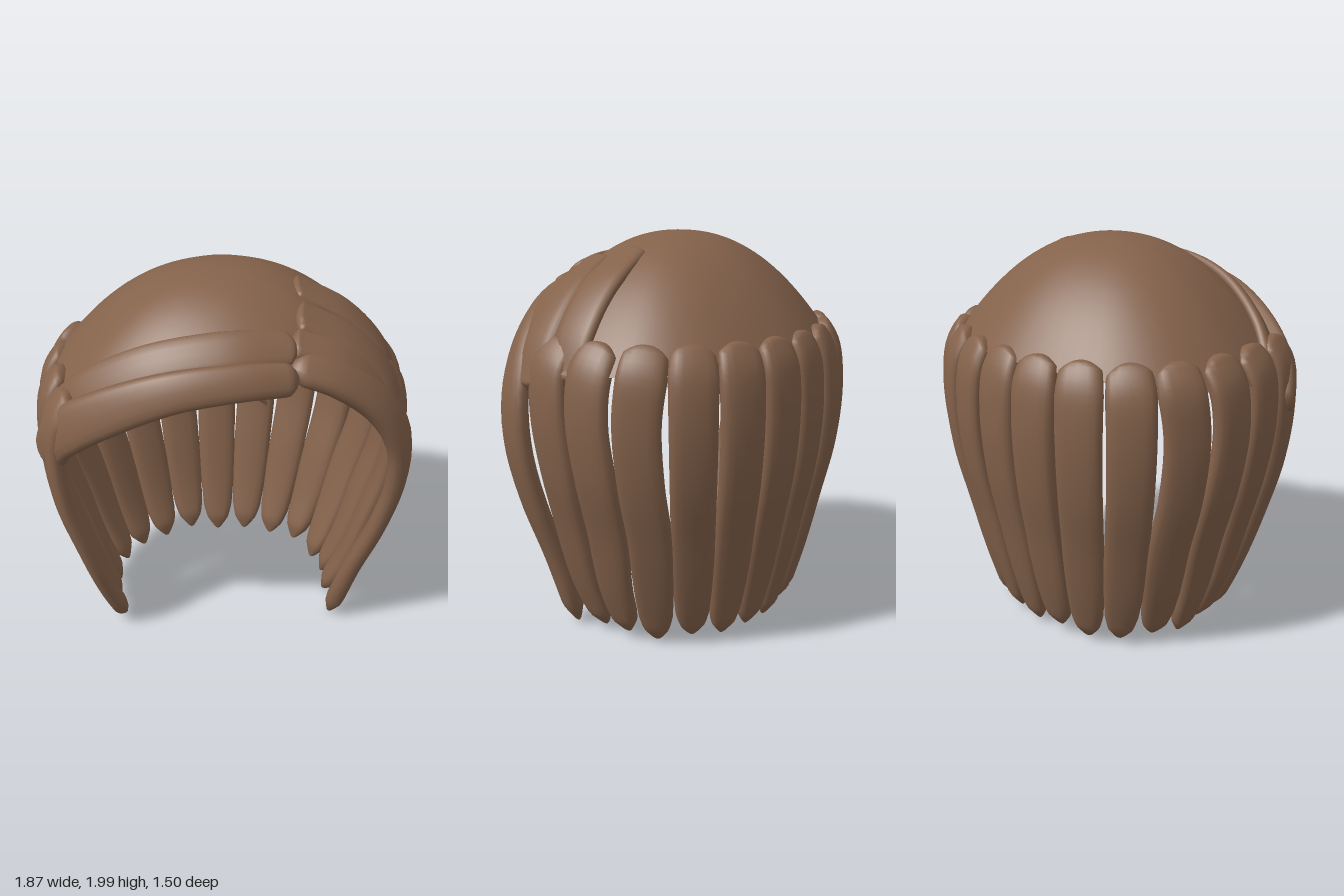
import * as THREE from 'three';

const hair = new THREE.MeshStandardMaterial({ color: 0x84624b, side: THREE.DoubleSide });
hair.name = 'brown hair';

const V = (p) => new THREE.Vector3(...p);

// Linear lookup in an evenly spaced list
function sample(list, t) {
  const f = t * (list.length - 1);
  const i = Math.min(Math.floor(f), list.length - 2);
  return list[i] + (list[i + 1] - list[i]) * (f - i);
}

function buildGrid(name, positions, rows, cols) {
  const index = [];
  for (let i = 0; i < rows - 1; i++) {
    for (let j = 0; j < cols; j++) {
      const a = i * cols + j, b = i * cols + (j + 1) % cols;
      index.push(a, b, a + cols, b, b + cols, a + cols);
    }
  }
  const g = new THREE.BufferGeometry();
  g.setAttribute('position', new THREE.Float32BufferAttribute(positions, 3));
  g.setIndex(index);
  g.computeVertexNormals();
  const mesh = new THREE.Mesh(g, hair);
  mesh.name = name;
  return mesh;
}

// Flattened strand swept along a path, its flat side facing away from the head
function strand(name, points, widths, thick, depthFactor) {
  const curve = new THREE.CatmullRomCurve3(points.map(V));
  const maxW = Math.max(...widths);
  const rows = 44, cols = 16, pos = [];
  for (let i = 0; i < rows; i++) {
    // rows gather towards both ends so that the tips are round
    const t = 0.5 - 0.5 * Math.cos(Math.PI * i / (rows - 1));
    const p = curve.getPointAt(t), T = curve.getTangentAt(t);
    const zf = depthFactor ?? (p.z > 0 ? 0.6 : 1.5);
    const O = new THREE.Vector3(p.x, Math.max(0, p.y - 1.2), p.z * zf);
    O.addScaledVector(T, -O.dot(T)).normalize();
    const S = O.clone().cross(T);
    const end = Math.sqrt(Math.min(1, t / 0.035, (1 - t) / 0.05));
    const w = sample(widths, t) * end;
    const h = thick * Math.min(1, w / (maxW * 0.6));
    for (let j = 0; j < cols; j++) {
      const a = j / cols * Math.PI * 2, c = Math.cos(a), s = Math.sin(a);
      const q = p.clone()
        .addScaledVector(S, w * Math.sign(c) * Math.abs(c) ** 0.8)
        .addScaledVector(O, h * Math.sign(s) * Math.abs(s) ** 0.8);
      pos.push(q.x, q.y, q.z);
    }
  }
  return buildGrid(name, pos, rows, cols);
}

// Crown: a paraboloid shell reaching down to an uneven rim
function crown() {
  const rim = new THREE.CatmullRomCurve3([
    [0, 1.67, 0.66], [0.35, 1.66, 0.58], [0.72, 1.48, 0.46], [0.88, 1.4, 0.2],
    [0.89, 1.4, -0.02], [0.8, 1.42, -0.3], [0.54, 1.46, -0.52], [0, 1.49, -0.66],
    [-0.54, 1.46, -0.52], [-0.8, 1.42, -0.3], [-0.89, 1.4, -0.02], [-0.88, 1.38, 0.2],
    [-0.74, 1.43, 0.5], [-0.4, 1.6, 0.63],
  ].map(V), true);
  const rows = 25, cols = 72, pos = [];
  for (let i = 0; i < rows; i++) {
    const s = 1 - i / (rows - 1);
    for (let j = 0; j < cols; j++) {
      const r = rim.getPoint(j / cols);
      pos.push(r.x * s, r.y + (2 - r.y) * (1 - s ** 2.2), 0.08 + (r.z - 0.08) * s);
    }
  }
  return buildGrid('crown', pos, rows, cols);
}

// Hanging locks spaced evenly along the half outline of the head
const outline = new THREE.CatmullRomCurve3([
  [0, 0, -0.7], [0.3, 0, -0.67], [0.58, 0, -0.55], [0.77, 0, -0.38],
  [0.86, 0, -0.18], [0.895, 0, 0.05], [0.87, 0, 0.28], [0.83, 0, 0.46],
].map(V));
const drop = [[1.54, 0.87], [1.42, 0.965], [1.2, 1], [0.9, 0.965], [0.6, 0.87], [0.3, 0.77], [0.025, 0.655]];
const lockWidths = [0.1, 0.118, 0.116, 0.114, 0.112, 0.11, 0.108, 0.106, 0.098, 0.085, 0.045];

function hangingLock(k, side) {
  const p = outline.getPointAt(k / 7);
  const tip = 0.015 * Math.sin(k * 2.4 + side);
  const points = drop.map(([y, f], i) => [
    side * p.x * f,
    y + (i === drop.length - 1 ? tip : 0),
    p.z * f + (k > 3 ? 0.015 * Math.sin(i * 1.7 + k) : 0),
  ]);
  return strand(k < 4 ? 'backLock' : 'sideLock', points, lockWidths, 0.045);
}

export function createModel() {
  const model = new THREE.Group();
  model.name = 'hair';
  model.add(crown());

  for (let k = 0; k <= 7; k++) {
    model.add(hangingLock(k, -1));
    if (k > 0 && k < 7) model.add(hangingLock(k, 1));
  }

  // Left front lock sweeps from the parting round the face
  model.add(strand('leftFrontLock', [
    [0.29, 1.72, 0.56], [0.5, 1.645, 0.55], [0.72, 1.47, 0.5], [0.84, 1.25, 0.46],
    [0.855, 1, 0.44], [0.8, 0.72, 0.41], [0.69, 0.38, 0.36], [0.59, 0.01, 0.31],
  ], [0.08, 0.09, 0.1, 0.11, 0.11, 0.11, 0.11, 0.1, 0.085, 0.045], 0.05, 0.9));

  // Combed bands from the parting to the left side
  for (const [z, dy] of [[0.12, 0], [0.33, -0.05]]) {
    model.add(strand('sideSweep', [
      [0.33, 1.915 + dy, z], [0.6, 1.765 + dy, z], [0.78, 1.57 + dy, z], [0.87, 1.35 + dy, z],
    ], [0.1, 0.115, 0.115, 0.1], 0.035, 0.6));
  }
  model.add(strand('sideSweep', [
    [0.3, 1.8, 0.47], [0.55, 1.69, 0.46], [0.75, 1.5, 0.41], [0.85, 1.28, 0.37],
  ], [0.08, 0.1, 0.1, 0.08], 0.035, 0.7));

  // Fringe sweeps from the parting to the right temple
  model.add(strand('fringe', [
    [0.32, 1.685, 0.62], [0.05, 1.705, 0.68], [-0.25, 1.665, 0.685],
    [-0.55, 1.53, 0.62], [-0.77, 1.36, 0.52], [-0.86, 1.17, 0.42],
  ], [0.075, 0.085, 0.095, 0.11, 0.12, 0.1], 0.05, 1.5));
  model.add(strand('upperFringe', [
    [0.32, 1.78, 0.51], [0, 1.8, 0.57], [-0.35, 1.73, 0.55],
    [-0.65, 1.56, 0.46], [-0.83, 1.38, 0.34],
  ], [0.08, 0.1, 0.1, 0.1, 0.07], 0.035, 1.1));

  // Small stray tip below the fringe
  const tip = new THREE.Mesh(new THREE.ConeGeometry(0.06, 0.14, 8), hair);
  tip.name = 'strayTip';
  tip.position.set(0.15, 1.6, 0.6);
  tip.rotation.z = Math.PI + 0.5;
  tip.scale.z = 0.4;
  model.add(tip);

  return model;
}
